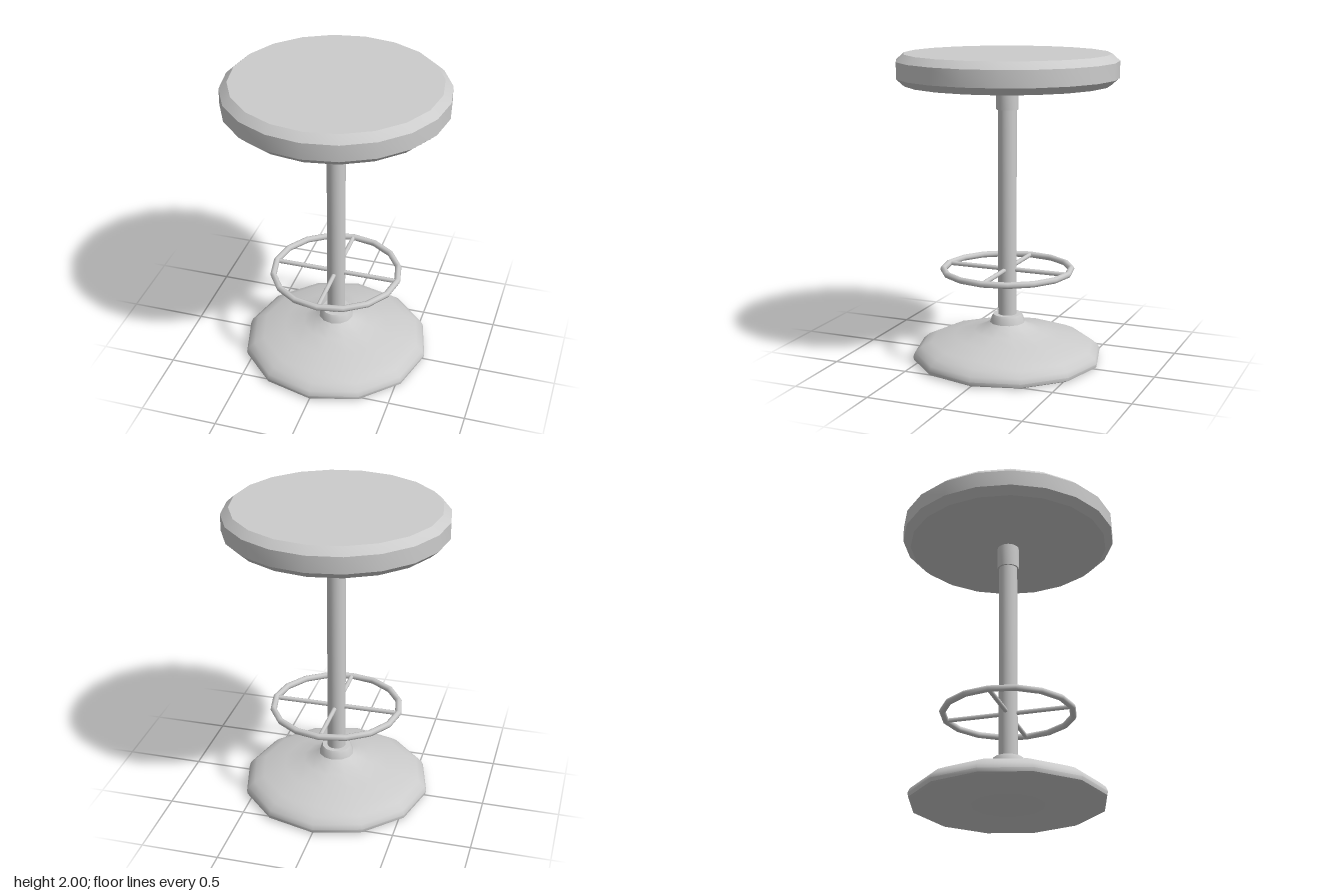
import * as THREE from 'three';
import { toCreasedNormals } from 'three/addons/utils/BufferGeometryUtils.js';

const material = new THREE.MeshStandardMaterial({ color: 0xcccccc });

function part(name, geometry, parent) {
  const mesh = new THREE.Mesh(geometry, material);
  mesh.name = name;
  parent.add(mesh);
  return mesh;
}

// Turned part from [radius, height] pairs listed bottom to top
function turned(profile, sides) {
  const points = profile.map(([r, y]) => new THREE.Vector2(r, y));
  return toCreasedNormals(new THREE.LatheGeometry(points, sides), 0.65);
}

export function createModel() {
  const stool = new THREE.Group();
  stool.name = 'barStool';

  // Round seat with bevelled edges
  part('seat', turned([
    [0, 1.805], [0.655, 1.805], [0.705, 1.85], [0.705, 1.955], [0.655, 2], [0, 2],
  ], 20), stool);

  // Pole and the collar under the seat
  part('pole', turned([[0.06, 0.28], [0.06, 1.81]], 20), stool);
  part('collar', turned([
    [0.06, 1.645], [0.071, 1.645], [0.071, 1.797], [0.06, 1.797],
  ], 20), stool);

  // Flared base with a short neck
  part('base', turned([
    [0, 0], [0.59, 0], [0.615, 0.012], [0.62, 0.035], [0.607, 0.065], [0.565, 0.1],
    [0.5, 0.13], [0.35, 0.165], [0.22, 0.198], [0.15, 0.225], [0.115, 0.25],
    [0.103, 0.29], [0.095, 0.305], [0.06, 0.305],
  ], 12), stool);

  // Footrest: ring on four spokes
  const footrest = new THREE.Group();
  footrest.name = 'footrest';
  footrest.position.y = 0.605;
  stool.add(footrest);
  part('footRing', new THREE.TorusGeometry(0.415, 0.021, 8, 16).rotateX(Math.PI / 2), footrest);
  for (let i = 0; i < 4; i++) {
    const spoke = new THREE.CylinderGeometry(0.015, 0.015, 0.37, 8);
    spoke.rotateZ(Math.PI / 2).translate(0.225, 0, 0);
    part('spoke', spoke, footrest).rotation.y = (i * Math.PI) / 2;
  }

  return stool;
}
